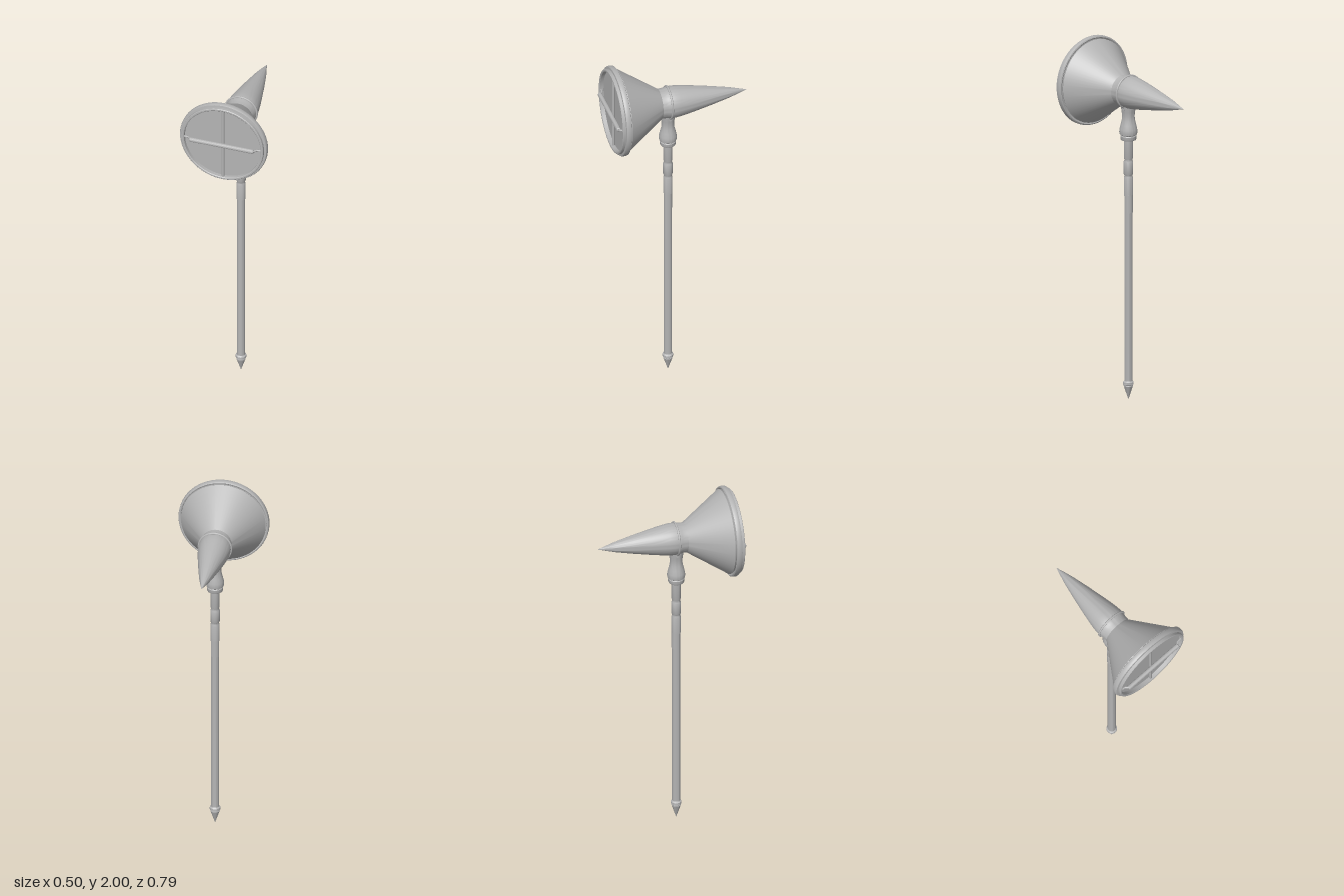
import * as THREE from 'three';
import { toCreasedNormals } from 'three/addons/utils/BufferGeometryUtils.js';

const HEAD_Y = 1.75, POLE_Z = 0.05;

export function createModel() {
  const model = new THREE.Group();
  const grey = new THREE.MeshStandardMaterial({ color: 0xb4b4b4 });
  grey.name = 'grey';

  const add = (parent, name, geometry, x = 0, y = 0, z = 0) => {
    const mesh = new THREE.Mesh(geometry, grey);
    mesh.name = name;
    mesh.position.set(x, y, z);
    parent.add(mesh);
    return mesh;
  };
  // Turned part from [radius, height] pairs, bottom to top
  const turned = (points, sides = 48) => toCreasedNormals(
    new THREE.LatheGeometry(points.map(([r, h]) => new THREE.Vector2(r, h)), sides), 0.5);

  // Pole and its fittings
  const pole = new THREE.Group();
  pole.name = 'pole';
  pole.position.z = POLE_Z;
  model.add(pole);
  add(pole, 'groundSpike', turned([
    [0, 0], [0.026, 0.078], [0.024, 0.083], [0.029, 0.087], [0.029, 0.1], [0.022, 0.107],
  ], 24));
  add(pole, 'shaft', turned([[0.022, 0.1], [0.022, 1.48]], 32));
  add(pole, 'sleeve', turned([
    [0.021, 1.16], [0.025, 1.16], [0.025, 1.262], [0.022, 1.27],
    [0.022, 1.276], [0.026, 1.284], [0.026, 1.352], [0.022, 1.36],
    [0.022, 1.366], [0.025, 1.374], [0.025, 1.48],
  ], 32));
  // Sleeve tongue running further down the back
  add(pole, 'sleeveTongue',
    new THREE.CylinderGeometry(0.025, 0.025, 0.1, 16, 1, false, Math.PI * 0.7, Math.PI * 0.6), 0, 1.115);
  add(pole, 'neck', turned([
    [0.02, 1.478], [0.041, 1.478], [0.044, 1.484], [0.044, 1.5], [0.041, 1.505],
    [0.047, 1.51], [0.05, 1.522], [0.048, 1.54], [0.042, 1.565], [0.036, 1.59],
    [0.034, 1.615], [0.037, 1.64], [0.042, 1.67], [0.045, 1.7],
  ]));

  // Head: everything is turned about the z axis
  const head = new THREE.Group();
  head.name = 'head';
  head.position.y = HEAD_Y;
  model.add(head);
  const turnedZ = (name, points, sides = 64) =>
    add(head, name, turned(points, sides).rotateX(Math.PI / 2));

  turnedZ('pointedTail', [
    [0, -0.395], [0.015, -0.345], [0.029, -0.295], [0.05, -0.2], [0.07, -0.1],
    [0.08, -0.045], [0.086, -0.005], [0.0885, 0.02], [0.088, 0.05],
    [0.085, 0.065], [0.083, 0.08], [0.083, 0.1],
  ]);
  turnedZ('funnel', [
    [0.083, 0.098], [0.09, 0.108], [0.234, 0.32], [0.23, 0.328], [0.223, 0.334], [0.223, 0.345],
  ]);
  turnedZ('rim', [
    [0.22, 0.337], [0.234, 0.337], [0.236, 0.328], [0.242, 0.325], [0.248, 0.328], [0.25, 0.335],
    [0.25, 0.35], [0.247, 0.356], [0.235, 0.358], [0.235, 0.372], [0.232, 0.375],
    [0.224, 0.375], [0.22, 0.372], [0.22, 0.352],
  ]);
  turnedZ('frontDisc', [[0.225, 0.352], [0, 0.352]]);

  // Band where the head meets the pole
  add(head, 'band', new THREE.TorusGeometry(0.0895, 0.006, 12, 64), 0, 0, 0.047);
  const bolt = add(head, 'bandBolt', new THREE.CylinderGeometry(0.007, 0.007, 0.08, 12), 0, -0.093, 0.047);
  bolt.rotation.z = Math.PI / 2;

  // Cross bars and raised handle on the front
  add(head, 'verticalBar', new THREE.CylinderGeometry(0.008, 0.008, 0.45, 12), 0, 0, 0.36);
  const rod = new THREE.CurvePath();
  const bends = [[-0.226, 0.364], [-0.195, 0.367], [-0.178, 0.384], [0.178, 0.384], [0.195, 0.367], [0.226, 0.364]]
    .map(([x, z]) => new THREE.Vector3(x, 0, z));
  for (let i = 1; i < bends.length; i++) rod.add(new THREE.LineCurve3(bends[i - 1], bends[i]));
  add(head, 'handleRod', new THREE.TubeGeometry(rod, 100, 0.006, 10));
  const grip = add(head, 'handleGrip', turned([
    [0, -0.184], [0.009, -0.184], [0.0125, -0.18], [0.0125, 0.18], [0.009, 0.184], [0, 0.184],
  ], 20), 0, 0, 0.3835);
  grip.rotation.z = Math.PI / 2;

  return model;
}
